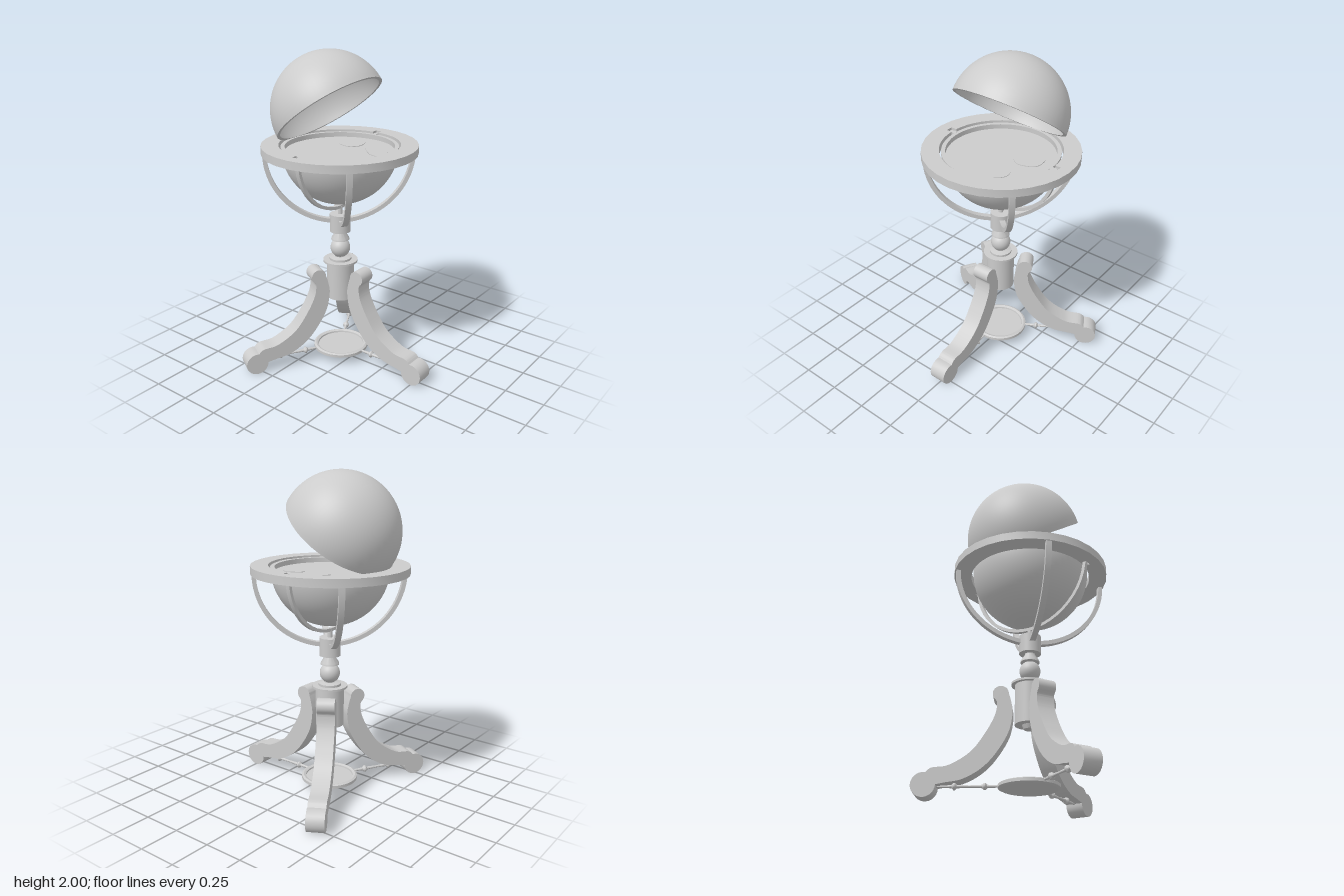
import * as THREE from 'three';
import { toCreasedNormals } from 'three/addons/utils/BufferGeometryUtils.js';

const grey = new THREE.MeshStandardMaterial({ color: 0xcccccc, side: THREE.DoubleSide });
const AXIS_Z = -0.09; // z of the column axis
const RIM_Y = 1.43;   // equator of the globe
const V = (x, y) => new THREE.Vector2(x, y);

function part(name, geometry, parent, x = 0, y = 0, z = 0) {
  const mesh = new THREE.Mesh(geometry, grey);
  mesh.name = name;
  mesh.position.set(x, y, z);
  parent.add(mesh);
  return mesh;
}

const lathe = (pts, segments = 40) =>
  toCreasedNormals(new THREE.LatheGeometry(pts.map(([x, y]) => V(x, y)), segments), 0.6);

// Extrusion centred on its depth, with smooth curves and sharp edges
function slab(shape, depth, curveSegments = 10) {
  const geo = new THREE.ExtrudeGeometry(shape, { depth, bevelEnabled: false, curveSegments });
  geo.translate(0, 0, -depth / 2);
  return toCreasedNormals(geo, 0.6);
}

// Points on a circular arc, as [x, y]
function arc(r, from, to, n = 24) {
  return Array.from({ length: n + 1 }, (_, i) => {
    const a = from + (to - from) * i / n;
    return [r * Math.cos(a), r * Math.sin(a)];
  });
}

// Curved leg with a scroll at the top and a round foot; x is the distance from the axis
function legShape() {
  const s = new THREE.Shape();
  s.absarc(0.167, 0.603, 0.047, -0.9, Math.PI, false);
  s.splineThru([V(0.105, 0.55), V(0.097, 0.48), V(0.122, 0.36), V(0.2, 0.23),
    V(0.28, 0.15), V(0.376, 0.098), V(0.47, 0.08), V(0.52, 0.07)]);
  s.absarc(0.59, 0.07, 0.07, Math.PI, Math.PI * 2 + 1.75, false);
  s.splineThru([V(0.545, 0.165), V(0.45, 0.18), V(0.333, 0.254), V(0.254, 0.36),
    V(0.2, 0.466), V(0.187, 0.54), V(0.196, 0.566)]);
  return s;
}

// Table ring with two square notches for the pivots
function ringShape() {
  const s = new THREE.Shape(arc(0.48, 0, Math.PI * 2, 32).slice(0, -1).map(p => V(...p)));
  const d = 0.06, w = 0.022;
  s.holes.push(new THREE.Path([
    ...arc(0.372, d, Math.PI - d), [-0.41, w], [-0.41, -w],
    ...arc(0.372, Math.PI + d, Math.PI * 2 - d), [0.41, -w], [0.41, w],
  ].map(p => V(...p))));
  return s;
}

export function createModel() {
  const model = new THREE.Group();
  model.name = 'globeCabinet';
  const stand = new THREE.Group();
  stand.name = 'stand';
  stand.position.z = AXIS_Z;
  model.add(stand);

  // Turned column
  part('column', lathe([[0, 0.4], [0.035, 0.4], [0.045, 0.425], [0.088, 0.425], [0.088, 0.67],
    [0.11, 0.67], [0.11, 0.683], [0.07, 0.683], [0.07, 0.697], [0.035, 0.705]]), stand);
  part('columnBall', new THREE.SphereGeometry(0.063, 32, 20), stand, 0, 0.762);
  part('columnCollar', lathe([[0.03, 0.81], [0.058, 0.818], [0.056, 0.83], [0.03, 0.87], [0.03, 0.885]]), stand);
  part('hub', lathe([[0, 0.875], [0.066, 0.875], [0.066, 0.99], [0, 0.99]]), stand);
  part('spindle', new THREE.CylinderGeometry(0.015, 0.015, 0.06, 16), stand, 0, 1.01);

  // Three legs, each tied to the tray by a beaded rod
  const legGeo = slab(legShape(), 0.11);
  const rodGeo = lathe([[0.006, 0.16], [0.008, 0.2], [0.01, 0.235], [0.021, 0.246], [0.021, 0.254],
    [0.01, 0.265], [0.007, 0.335], [0.01, 0.405], [0.021, 0.416], [0.021, 0.424],
    [0.01, 0.435], [0.007, 0.47], [0.006, 0.55]], 12);
  rodGeo.rotateZ(-Math.PI / 2);
  for (let i = 0; i < 3; i++) {
    const arm = new THREE.Group();
    arm.name = ['frontLeg', 'leftLeg', 'rightLeg'][i];
    arm.rotation.y = -Math.PI / 2 + i * Math.PI * 2 / 3;
    stand.add(arm);
    part('leg', legGeo, arm);
    part('tieRod', rodGeo, arm, 0, 0.07);
  }

  // Round tray between the feet
  part('tray', lathe([[0, 0.05], [0.16, 0.05], [0.177, 0.058], [0.177, 0.076], [0.165, 0.082],
    [0.15, 0.076], [0.148, 0.066], [0, 0.066]]), stand);

  // Table ring on four curved arms
  const ring = part('tableRing', slab(ringShape(), 0.05), stand, 0, 1.415);
  ring.rotation.x = -Math.PI / 2;
  const armShape = new THREE.Shape([
    ...arc(1, 0, -Math.PI / 2).map(([x, y]) => V(x * 0.472, 1.395 + y * 0.462)),
    ...arc(1, -Math.PI / 2, 0).map(([x, y]) => V(x * 0.446, 1.395 + y * 0.436)),
  ]);
  const armGeo = slab(armShape, 0.035);
  for (let i = 0; i < 4; i++)
    part('supportArm', armGeo, stand).rotation.y = Math.PI / 4 + i * Math.PI / 2;

  // Half meridian carrying the globe, with its pivots
  const meridian = new THREE.Shape([
    ...arc(0.402, 0, -Math.PI).map(p => V(...p)),
    ...arc(0.382, -Math.PI, 0).map(p => V(...p)),
  ]);
  part('meridian', slab(meridian, 0.026), stand, 0, RIM_Y);
  for (const side of [-1, 1])
    part('pivot', new THREE.BoxGeometry(0.045, 0.025, 0.026), stand, side * 0.375, 1.418);

  // Lower half of the globe with a sunken floor
  part('lowerGlobe', lathe([...arc(0.36, -Math.PI / 2, 0, 28), [0.335, 0], [0.335, -0.03], [0, -0.03]], 56),
    stand, 0, RIM_Y);
  part('latch', new THREE.BoxGeometry(0.1, 0.02, 0.015), stand, 0, 1.42, 0.36);

  // Thin inlays on the floor, as [x, z] outlines
  const inlays = [
    [[0.02, 0.21], [0.01, 0.295], [0.09, 0.285], [0.17, 0.225], [0.185, 0.17], [0.14, 0.1], [0.09, 0.13]],
    [[0.11, -0.09], [0.09, -0.01], [0.14, 0.04], [0.21, 0.03], [0.26, -0.01], [0.25, -0.1], [0.18, -0.06]],
  ];
  for (const outline of inlays) {
    const s = new THREE.Shape();
    const pts = outline.map(([x, z]) => V(x, -z));
    s.moveTo(pts[0].x, pts[0].y);
    s.splineThru([...pts.slice(1), pts[0]]);
    part('floorInlay', slab(s, 0.004, 4), stand, 0, RIM_Y - 0.028).rotation.x = -Math.PI / 2;
  }

  // Upper half, hinged open at the back
  const lid = new THREE.Group();
  lid.name = 'lid';
  lid.position.set(0, 1.64, -0.165);
  lid.rotation.x = -0.657;
  model.add(lid);
  part('upperGlobe', lathe([...arc(0.34, Math.PI / 2, 0, 28), ...arc(0.36, 0, Math.PI / 2, 28)], 56), lid);
  part('hinge', new THREE.CylinderGeometry(0.012, 0.012, 0.1, 12), stand, 0, 1.425, -0.365)
    .rotation.z = Math.PI / 2;

  return model;
}
